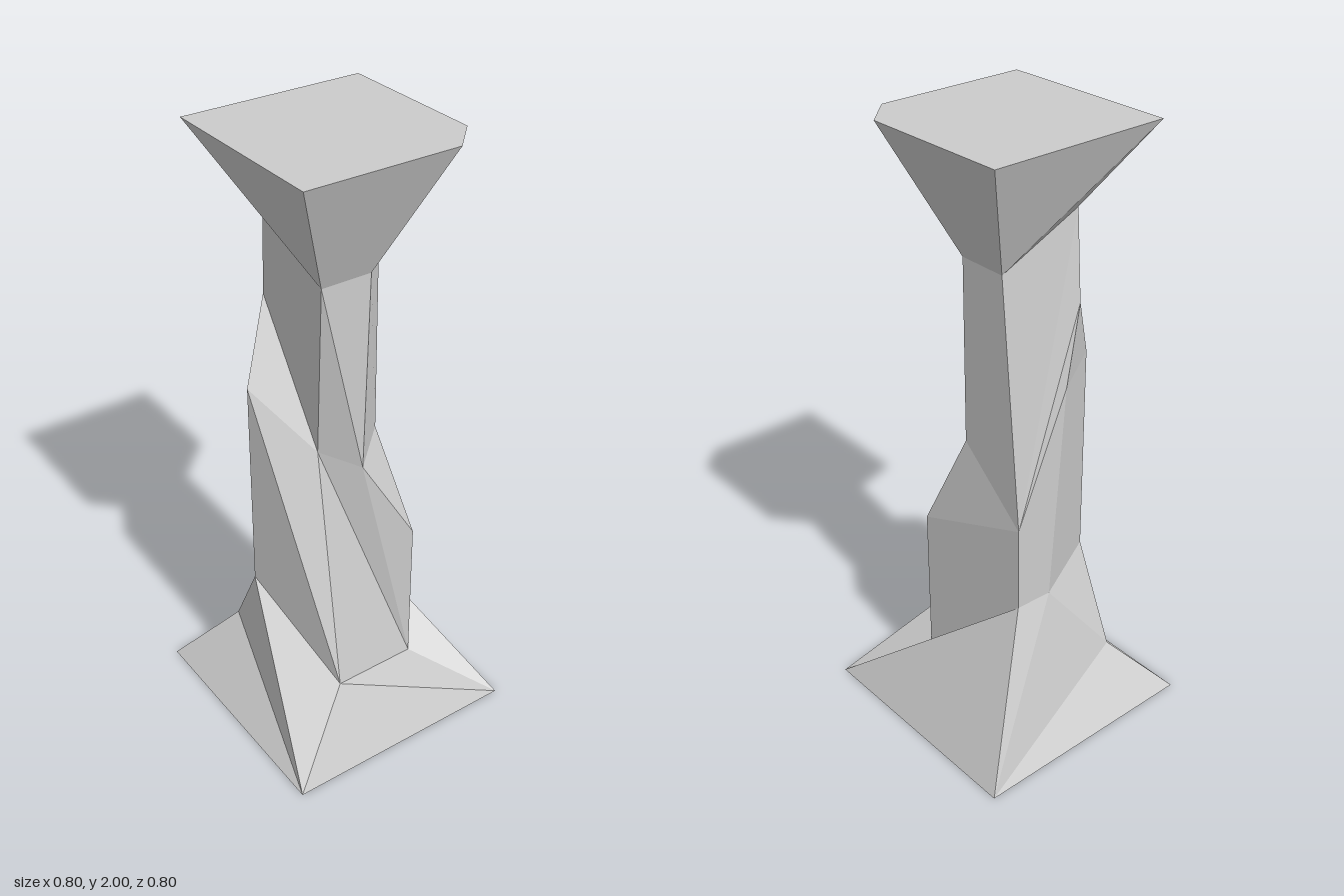
import * as THREE from 'three';

// Corner points of the faceted pillar, ring by ring
// (letters: F front, B back, L left-hand -x, R right-hand +x in plan)
const P = {
  // top plate rim, one corner clipped
  tFL: [-0.3, 2, 0.3], tFR: [0.3, 2, 0.3], tBR1: [0.3, 2, -0.2], tBR2: [0.2, 2, -0.3], tBL: [-0.3, 2, -0.3],
  // neck under the capital
  nFL: [-0.14, 1.74, 0.145], nFR: [0.135, 1.61, 0.135], nBR1: [0.135, 1.61, -0.035],
  nBR2: [0.035, 1.61, -0.135], nBL: [-0.135, 1.61, -0.135],
  // waist of the shaft
  wTip: [-0.175, 1.46, 0.13], wFront: [-0.08, 1.22, 0.255], wSide: [-0.21, 1.22, 0.05], wFR: [0.06, 1.01, 0.1],
  wBR1: [0.135, 0.95, -0.015], wBR2: [0.035, 1, -0.135], wBR: [0.187, 0.66, -0.18], wBL: [-0.21, 0.79, -0.135],
  // foot of the shaft
  fFront: [-0.08, 0.5, 0.255], fSide: [-0.215, 0.5, -0.01], fFL: [-0.26, 0.2, 0.22],
  fFR: [0.28, 0.26, 0.17], fBR: [0.187, 0.15, -0.18], fBL: [-0.21, 0.5, -0.135],
  // ground square
  bFL: [-0.4, 0, 0.4], bFR: [0.4, 0, 0.4], bBR: [0.4, 0, -0.4], bBL: [-0.4, 0, -0.4],
};

// Facets of each part, corners counter-clockwise from outside
const PARTS = {
  capital: [
    'tFL tFR tBR1 tBR2 tBL',
    'tFL nFL nFR tFR',
    'tFR nFR nBR1 tBR1',
    'tBR1 nBR1 nBR2 tBR2',
    'tBR2 nBR2 nBL tBL',
    'tFL tBL nBL nFL',
  ],
  shaft: [
    // front
    'wTip wFR nFR nFL', 'wTip wFront wFR', 'wFront fFront fFR wFR',
    // chipped front corner
    'wTip wSide wFront', 'wSide fSide fFront wFront',
    // -x side
    'wBL wSide wTip nFL nBL', 'wBL fBL fSide wSide',
    // back
    'nBR2 wBR2 wBL nBL', 'wBR2 wBR wBL', 'wBR fBR fBL wBL',
    // chipped back corner
    'nBR1 wBR1 wBR2 nBR2', 'wBR1 wBR wBR2',
    // +x side
    'nFR wFR wBR1 nBR1', 'wFR fFR fBR', 'wFR fBR wBR1', 'wBR1 fBR wBR',
  ],
  base: [
    'bFR fFR fFront fFL bFL',
    'fFront fSide fFL',
    'bBL bFL fFL fSide fBL',
    'bBR fBR fFR bFR',
    'bBR bBL fBL fBR',
    'bFL bBL bBR bFR',
  ],
};

// Fan each facet into triangles
function facetGeometry(facets) {
  const positions = [];
  for (const facet of facets) {
    const c = facet.split(' ').map((name) => P[name]);
    for (let i = 1; i < c.length - 1; i++) positions.push(...c[0], ...c[i], ...c[i + 1]);
  }
  const geometry = new THREE.BufferGeometry();
  geometry.setAttribute('position', new THREE.Float32BufferAttribute(positions, 3));
  geometry.computeVertexNormals();
  return geometry;
}

export function createModel() {
  const group = new THREE.Group();
  group.name = 'pillar';
  const stone = new THREE.MeshStandardMaterial({ color: 0xcccccc, flatShading: true });
  for (const [name, facets] of Object.entries(PARTS)) {
    const mesh = new THREE.Mesh(facetGeometry(facets), stone);
    mesh.name = name;
    group.add(mesh);
  }
  return group;
}
